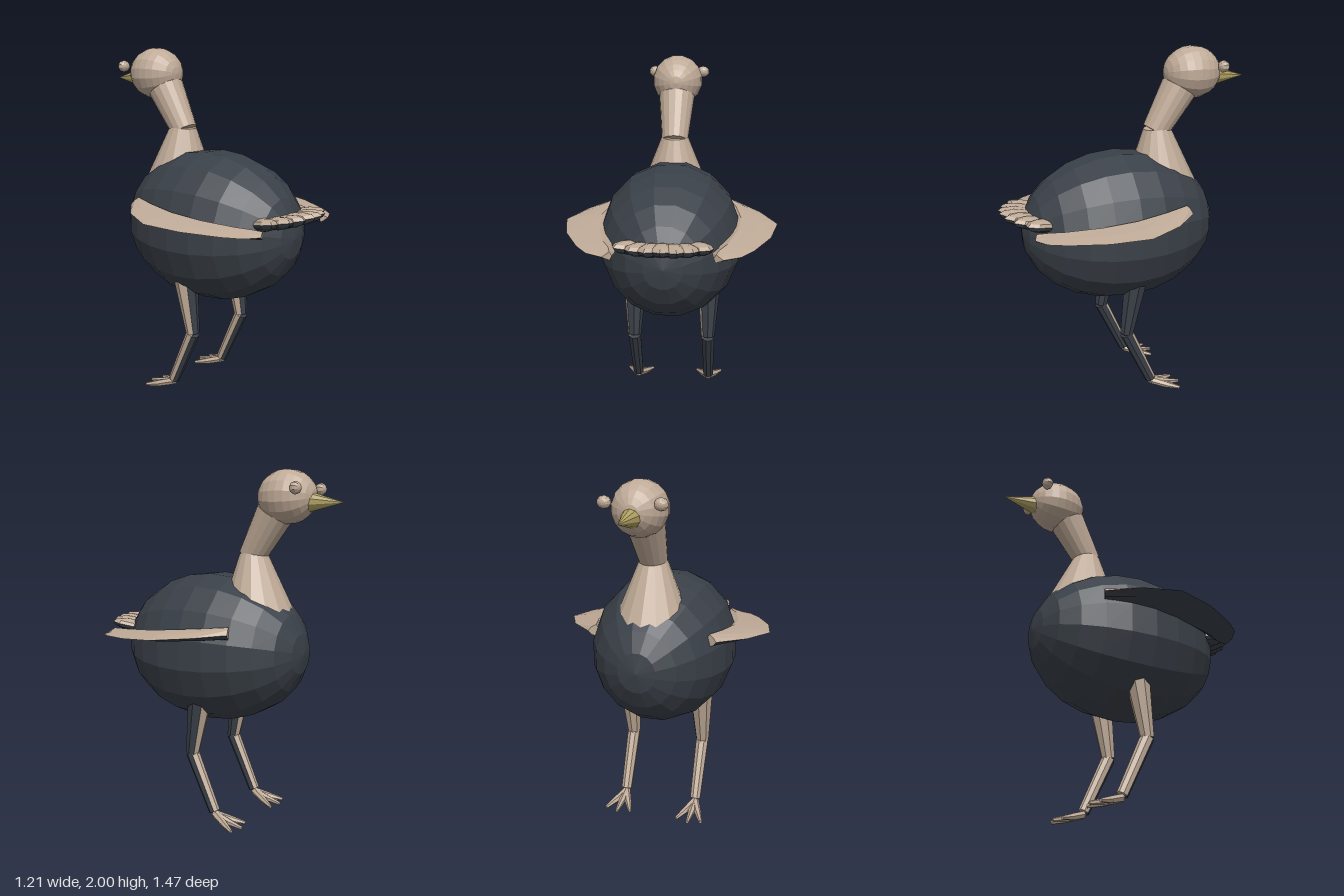
import * as THREE from 'three';

const mat = (name, color) => {
  const m = new THREE.MeshStandardMaterial({ color, flatShading: true });
  m.name = name;
  return m;
};

export function createModel() {
  const skin = mat('pale tan', 0xbfaa97);
  const dark = mat('dark slate', 0x3a4048);
  const horn = mat('beak yellow', 0xb0a062);
  const bird = new THREE.Group();
  bird.name = 'bird';
  const V = (x, y, z) => new THREE.Vector3(x, y, z);

  const add = (name, geometry, material, parent = bird) => {
    const mesh = new THREE.Mesh(geometry, material);
    mesh.name = name;
    parent.add(mesh);
    return mesh;
  };

  // Ellipsoid with its poles along z
  const ellipsoid = (name, material, pos, rx, ry, rz, w = 16, h = 12) => {
    const g = new THREE.SphereGeometry(1, w, h);
    g.rotateY(Math.PI / w).rotateX(Math.PI / 2).scale(rx, ry, rz);
    const mesh = add(name, g, material);
    mesh.position.copy(pos);
    return mesh;
  };

  // Tapered limb from a to b, optionally only a sector of its sides
  const limb = (name, material, a, b, ra, rb, sides, start = 0, arc = Math.PI * 2) => {
    const dir = b.clone().sub(a);
    const g = new THREE.CylinderGeometry(rb, ra, dir.length(), sides, 1, false, start, arc);
    const mesh = add(name, g, material);
    mesh.position.copy(a).add(b).multiplyScalar(0.5);
    mesh.quaternion.setFromUnitVectors(V(0, 1, 0), dir.normalize());
    return mesh;
  };

  // Body, neck and head
  ellipsoid('body', dark, V(0, 1.005, 0.04), 0.408, 0.433, 0.57);
  limb('lowerNeck', skin, V(0, 1.22, -0.225), V(0, 1.55, -0.2), 0.21, 0.078, 16);
  limb('upperNeck', skin, V(0, 1.53, -0.19), V(0, 1.77, -0.335), 0.076, 0.105, 16);
  ellipsoid('head', skin, V(0, 1.855, -0.412), 0.148, 0.148, 0.167);
  limb('beak', horn, V(0, 1.828, -0.52), V(0, 1.822, -0.742), 0.062, 0.001, 10);

  for (const s of [-1, 1]) {
    ellipsoid('eye', skin, V(s * 0.147, 1.896, -0.537), 0.038, 0.034, 0.031, 10, 8);

    // Two-tone legs: each half of the shaft has its own colour
    const x = s * 0.22;
    const hip = V(x, 0.76, 0.01), knee = V(x, 0.4, 0.07), ankle = V(x, 0.075, -0.083);
    for (const [m, turn] of [[dark, 0], [skin, Math.PI]]) {
      limb('thigh', m, knee, hip, 0.039, 0.072, 4, turn - Math.PI / 4, Math.PI);
      limb('shin', m, ankle, knee, 0.032, 0.039, 4, turn - Math.PI / 3, Math.PI);
    }

    // Three toes, each bending flat toward the tip
    for (const t of [-1, 0, 1]) {
      const mid = V(x + t * 0.038, 0.033, -0.17);
      limb('toe', skin, V(x, 0.06, -0.085), mid, 0.022, 0.02, 6);
      limb('toeTip', skin, mid, V(x + t * 0.075, 0.014, t ? -0.245 : -0.268), 0.02, 0.01, 6);
    }
  }

  // Wing sections: inner x, inner z, outer x, outer z
  const sections = [
    [0.31, -0.24, 0.37, -0.265], [0.32, -0.1, 0.51, -0.12], [0.33, 0.08, 0.604, 0.075],
    [0.32, 0.26, 0.56, 0.29], [0.28, 0.45, 0.467, 0.48], [0.25, 0.52, 0.4, 0.57],
    [0.26, 0.59, 0.31, 0.615],
  ];
  const wingGeometry = (side) => {
    const rings = sections.map(([xi, zi, xo, zo]) => {
      const t = (zo + 0.265) / 0.88;
      const top = 1.172 - 0.077 * t, low = 1.1 - 0.05 * t, mid = (top + low) / 2;
      const at = (k, y) => V(side * (xi + (xo - xi) * k), y, zi + (zo - zi) * k);
      return [at(0, mid), at(0.25, top), at(0.65, top - 0.012), at(1, mid), at(0.65, low + 0.012), at(0.2, low)];
    });
    const pos = [];
    const tri = (a, b, c) => (side > 0 ? [a, b, c] : [a, c, b]).forEach((p) => pos.push(p.x, p.y, p.z));
    const n = 6, g = new THREE.BufferGeometry();
    const strips = (from, to) => {
      for (let i = 0; i < rings.length - 1; i++) {
        for (let j = from; j < to; j++) {
          const k = (j + 1) % n, a = rings[i], b = rings[i + 1];
          tri(a[j], b[j], b[k]);
          tri(a[j], b[k], a[k]);
        }
      }
    };
    // Upper surface and both end caps
    strips(0, 3);
    const first = rings[0], last = rings[rings.length - 1];
    for (let j = 1; j < n - 1; j++) {
      tri(first[0], first[j], first[j + 1]);
      tri(last[0], last[j + 1], last[j]);
    }
    const split = pos.length / 3;
    // Underside
    strips(3, 6);
    g.setAttribute('position', new THREE.Float32BufferAttribute(pos, 3));
    g.addGroup(0, split, 0);
    g.addGroup(split, pos.length / 3 - split, 1);
    g.computeVertexNormals();
    return g;
  };
  add('leftWing', wingGeometry(1), [skin, dark]);
  add('rightWing', wingGeometry(-1), [skin, dark]);

  // Tail: a fan of flattened feathers, pale above and dark below
  const tail = new THREE.Group();
  tail.name = 'tail';
  bird.add(tail);
  for (let i = -3; i <= 3; i++) {
    const feather = new THREE.Group();
    feather.name = 'tailFeather';
    const angle = i * 0.21;
    const tip = V(i * 0.082, 1.135 - Math.abs(i) * 0.004, 0.733 - i * i * 0.011);
    feather.position.set(tip.x - Math.sin(angle) * 0.125, tip.y - 0.02, tip.z - Math.cos(angle) * 0.125);
    feather.rotation.set(-0.2, angle, 0, 'YXZ');
    for (const [name, m, start] of [['featherTop', skin, 0], ['featherUnderside', dark, Math.PI / 2]]) {
      const g = new THREE.SphereGeometry(1, 8, 3, 0, Math.PI * 2, start, Math.PI / 2);
      g.scale(0.062, 0.036, 0.127);
      add(name, g, m, feather);
    }
    tail.add(feather);
  }

  return bird;
}
